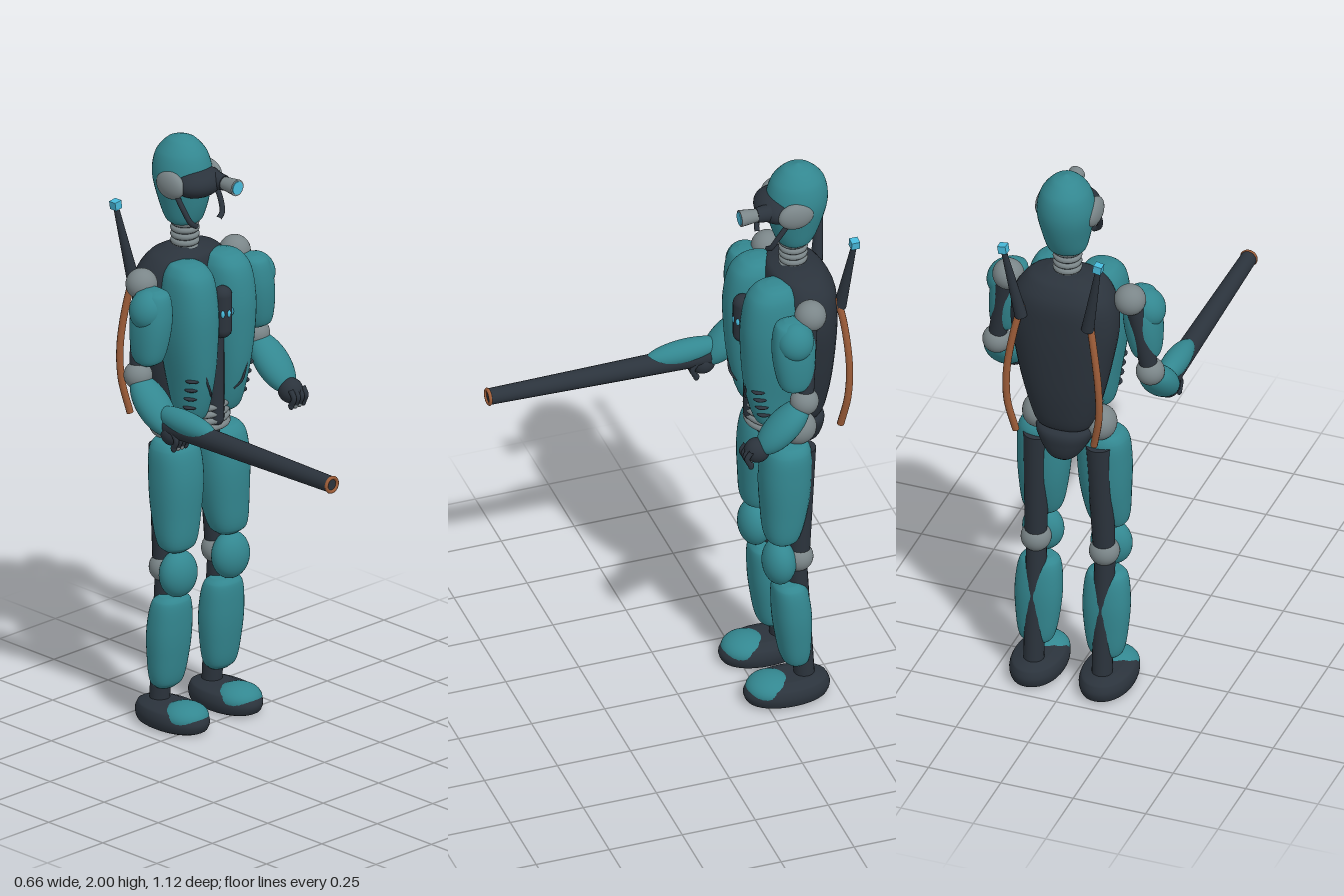
import * as THREE from 'three';

const V = (x, y, z) => new THREE.Vector3(x, y, z);
const mat = (name, color) => Object.assign(new THREE.MeshStandardMaterial({ color }), { name });

export function createModel() {
  const root = new THREE.Group();
  root.name = 'robot';
  const teal = mat('teal armour', 0x338790);
  const dark = mat('dark frame', 0x2b333c);
  const grey = mat('grey joint', 0x7b8689);
  const copper = mat('copper', 0x9c5c38);
  const cyan = mat('cyan light', 0x48bbdc);

  const add = (name, geo, material, pos = [0, 0, 0], rot = [0, 0, 0]) => {
    const m = new THREE.Mesh(geo, material);
    m.name = name;
    m.position.set(...pos);
    m.rotation.set(...rot);
    root.add(m);
    return m;
  };
  const ball = (name, material, pos, r, rot) =>
    add(name, new THREE.SphereGeometry(1, 32, 20).scale(...r), material, pos, rot);
  // Tapered rod between two points
  const rod = (name, material, a, b, ra, rb) => {
    const p = V(...a), q = V(...b), d = q.clone().sub(p);
    const m = add(name, new THREE.CylinderGeometry(rb, ra, d.length(), 20), material);
    m.position.copy(p).add(q).multiplyScalar(0.5);
    m.quaternion.setFromUnitVectors(V(0, 1, 0), d.normalize());
    return m;
  };
  const hose = (name, material, pts, r) => add(name,
    new THREE.TubeGeometry(new THREE.CatmullRomCurve3(pts.map(p => V(...p))), 32, r, 10), material);
  // Smooth body through cross-sections [y, cx, cz, rx, rz], listed bottom to top
  const loft = (name, material, sections, s = 1, power = 2.3) => {
    const rows = 36, cols = 36, pos = [], idx = [];
    const centre = new THREE.CatmullRomCurve3(sections.map(c => V(c[1] * s, c[0], c[2])));
    const radius = new THREE.CatmullRomCurve3(sections.map(c => V(c[3], c[0], c[4])));
    const curve = v => Math.sign(v) * Math.abs(v) ** (2 / power);
    for (let i = 0; i <= rows; i++) {
      const c = centre.getPoint(i / rows), r = radius.getPoint(i / rows);
      for (let j = 0; j < cols; j++) {
        const a = (j / cols) * Math.PI * 2;
        pos.push(c.x + r.x * curve(Math.cos(a)), c.y, c.z + r.z * curve(Math.sin(a)));
        if (i === rows) continue;
        const p = i * cols + j, q = i * cols + (j + 1) % cols;
        idx.push(p, p + cols, q, q, p + cols, q + cols);
      }
    }
    // End caps
    const n = pos.length / 3, low = sections[0], high = sections[sections.length - 1];
    pos.push(low[1] * s, low[0], low[2], high[1] * s, high[0], high[2]);
    for (let j = 0; j < cols; j++) {
      const k = (j + 1) % cols, top = rows * cols;
      idx.push(n, j, k, n + 1, top + k, top + j);
    }
    const g = new THREE.BufferGeometry();
    g.setAttribute('position', new THREE.Float32BufferAttribute(pos, 3));
    g.setIndex(idx);
    g.computeVertexNormals();
    return add(name, g, material);
  };

  // Head, visor and off-centre eye
  loft('head', teal, [[1.7, 0, -0.395, 0.045, 0.04], [1.715, 0, -0.398, 0.062, 0.058], [1.78, 0, -0.402, 0.08, 0.085],
    [1.87, 0, -0.407, 0.095, 0.102], [1.94, 0, -0.41, 0.08, 0.088], [1.985, 0, -0.41, 0.043, 0.048], [2, 0, -0.41, 0.004, 0.004]], 1, 2);
  ball('visor', dark, [0, 1.855, -0.335], [0.09, 0.05, 0.07]);
  rod('eyeMount', dark, [0.043, 1.86, -0.3], [0.043, 1.86, -0.255], 0.03, 0.025);
  rod('eyeBarrel', grey, [0.043, 1.86, -0.27], [0.043, 1.86, -0.197], 0.02, 0.028);
  rod('eyeLens', cyan, [0.043, 1.86, -0.2], [0.043, 1.86, -0.194], 0.022, 0.022);
  for (const s of [-1, 1]) {
    ball('earCap', grey, [s * 0.085, 1.855, -0.375], [0.026, 0.047, 0.06]);
    hose('jawGuard', dark, [[s * 0.085, 1.83, -0.35], [s * 0.082, 1.78, -0.315], [s * 0.07, 1.74, -0.295], [s * 0.05, 1.725, -0.29]], 0.009);
  }

  // Neck
  rod('neck', dark, [0, 1.58, -0.395], [0, 1.74, -0.395], 0.04, 0.04);
  for (let i = 0; i < 5; i++)
    add('neckRing', new THREE.TorusGeometry(0.037, 0.011, 10, 28), grey, [0, 1.615 + i * 0.022, -0.395], [Math.PI / 2, 0, 0]);

  // Back shell, waist and pelvis
  loft('backShell', dark, [[1.03, 0, -0.42, 0.06, 0.03], [1.05, 0, -0.42, 0.09, 0.06], [1.15, 0, -0.42, 0.125, 0.085], [1.3, 0, -0.42, 0.16, 0.1],
    [1.45, 0, -0.415, 0.182, 0.11], [1.55, 0, -0.41, 0.168, 0.108], [1.605, 0, -0.4, 0.125, 0.085], [1.625, 0, -0.4, 0.06, 0.04]]);
  rod('waist', dark, [0, 0.99, -0.34], [0, 1.35, -0.33], 0.075, 0.08);
  add('frontPillar', new THREE.CapsuleGeometry(0.03, 0.4, 6, 16), dark, [0, 1.26, -0.255]);
  for (let i = 0; i < 4; i++)
    add('waistRib', new THREE.TorusGeometry(0.095, 0.011, 10, 36), grey, [0, 1.03 + i * 0.024, -0.335], [Math.PI / 2, 0, 0]);
  loft('pelvis', dark, [[0.915, 0, -0.42, 0.025, 0.03], [0.935, 0, -0.42, 0.05, 0.055], [0.98, 0, -0.41, 0.08, 0.08],
    [1.03, 0, -0.4, 0.098, 0.09], [1.06, 0, -0.39, 0.07, 0.06]]);

  // Chest badge with lights
  add('chestPanel', new THREE.CapsuleGeometry(0.032, 0.115, 8, 20), dark, [0, 1.435, -0.222]);
  for (let i = -1; i <= 1; i++)
    ball('chestLight', cyan, [i * 0.02, 1.437, i ? -0.199 : -0.192], [0.007, 0.013, 0.006]);

  for (const s of [-1, 1]) {
    // Chest plate, vents and seam
    loft('chestPlate', teal, [[1.06, 0.075, -0.29, 0.025, 0.025], [1.08, 0.075, -0.29, 0.045, 0.05], [1.2, 0.078, -0.29, 0.064, 0.085],
      [1.35, 0.083, -0.29, 0.081, 0.1], [1.47, 0.085, -0.29, 0.082, 0.1], [1.565, 0.083, -0.295, 0.072, 0.083],
      [1.6, 0.082, -0.3, 0.05, 0.055], [1.61, 0.082, -0.3, 0.02, 0.02]], s);
    for (let i = 0; i < 4; i++)
      ball('vent', dark, [s * (0.121 - i * 0.003), 1.225 - i * 0.033, -0.235 - i * 0.007], [0.024, 0.008, 0.024], [0, s * 0.7, 0]);
    hose('chestSeam', dark, [[s * 0.1, 1.29, -0.202], [s * 0.09, 1.23, -0.204], [s * 0.07, 1.18, -0.205], [s * 0.052, 1.155, -0.222]], 0.004);

    // Antenna and back hose
    rod('antenna', dark, [s * 0.115, 1.49, -0.515], [s * 0.163, 1.75, -0.546], 0.021, 0.009);
    add('antennaTip', new THREE.BoxGeometry(0.028, 0.028, 0.028), cyan, [s * 0.164, 1.76, -0.547], [0, 0, -s * 0.15]);
    hose('backHose', copper, [[s * 0.115, 1.53, -0.503], [s * 0.135, 1.44, -0.52], [s * 0.158, 1.28, -0.532], [s * 0.158, 1.16, -0.527], [s * 0.135, 1.04, -0.51]], 0.012);

    // Arm
    ball('shoulder', grey, [s * 0.21, 1.545, -0.38], [0.052, 0.052, 0.052]);
    rod('armCore', dark, [s * 0.22, 1.53, -0.37], [s * 0.265, 1.255, -0.34], 0.03, 0.03);
    loft('upperArm', teal, [[1.295, 0.245, -0.315, 0.025, 0.025], [1.31, 0.244, -0.315, 0.043, 0.048], [1.38, 0.237, -0.315, 0.058, 0.066],
      [1.47, 0.228, -0.315, 0.06, 0.07], [1.535, 0.222, -0.315, 0.045, 0.055], [1.55, 0.22, -0.315, 0.02, 0.025]], s);
    ball('shoulderPad', teal, [s * 0.25, 1.485, -0.315], [0.054, 0.066, 0.06], [0, 0, s * 0.35]);
    ball('elbow', grey, [s * 0.265, 1.255, -0.34], [0.047, 0.047, 0.047]);
    ball('forearm', teal, [s * 0.268, 1.172, -0.265], [0.062, 0.115, 0.05], [-0.8, 0, 0]);

    // Hand
    ball('palm', dark, [s * 0.265, 1.1, -0.178], [0.04, 0.042, 0.043], [-0.6, 0, 0]);
    for (let i = 0; i < 4; i++) {
      const x = s * 0.265 + (i - 1.5) * 0.018;
      hose('finger', dark, [[x, 1.115, -0.15], [x, 1.09, -0.135], [x, 1.065, -0.145]], 0.009);
      ball('fingertip', i % 3 ? grey : dark, [x, 1.062, -0.148], [0.009, 0.014, 0.01]);
    }

    // Thigh
    ball('hipJoint', grey, [s * 0.108, 1.04, -0.375], [0.052, 0.058, 0.06]);
    rod('thighCore', dark, [s * 0.108, 0.96, -0.388], [s * 0.118, 0.54, -0.372], 0.045, 0.036);
    loft('thigh', teal, [[0.615, 0.116, -0.315, 0.04, 0.032], [0.635, 0.115, -0.315, 0.062, 0.054], [0.75, 0.108, -0.325, 0.081, 0.077],
      [0.88, 0.104, -0.33, 0.088, 0.084], [0.965, 0.104, -0.337, 0.08, 0.075], [0.99, 0.104, -0.34, 0.062, 0.058], [0.998, 0.104, -0.34, 0.03, 0.03]], s);

    // Knee and shin
    ball('kneeJoint', grey, [s * 0.118, 0.54, -0.37], [0.05, 0.05, 0.05]);
    ball('kneeCap', teal, [s * 0.118, 0.535, -0.305], [0.07, 0.08, 0.055]);
    rod('shinCore', dark, [s * 0.118, 0.52, -0.365], [s * 0.118, 0.06, -0.392], 0.034, 0.034);
    loft('shin', teal, [[0.13, 0.12, -0.36, 0.035, 0.025], [0.15, 0.12, -0.358, 0.056, 0.043], [0.25, 0.118, -0.352, 0.074, 0.058],
      [0.35, 0.117, -0.346, 0.078, 0.062], [0.435, 0.116, -0.338, 0.066, 0.052], [0.455, 0.116, -0.335, 0.045, 0.035]], s);

    // Foot with toe cap
    loft('foot', dark, [[0.004, 0.12, -0.33, 0.07, 0.12], [0.012, 0.12, -0.33, 0.083, 0.136], [0.04, 0.12, -0.33, 0.089, 0.145],
      [0.068, 0.12, -0.335, 0.08, 0.13], [0.083, 0.12, -0.345, 0.045, 0.085]], s, 2.1);
    ball('toeCap', teal, [s * 0.12, 0.05, -0.27], [0.077, 0.047, 0.077]);
  }

  // Long barrel carried on the right arm
  rod('gunBarrel', dark, [-0.265, 1.125, -0.2], [-0.265, 1.13, 0.555], 0.038, 0.027);
  add('muzzleRing', new THREE.TorusGeometry(0.024, 0.006, 10, 32), copper, [-0.265, 1.13, 0.555]);
  ball('gunCover', teal, [-0.267, 1.15, -0.115], [0.041, 0.041, 0.135], [0.06, 0, 0]);

  return root;
}
